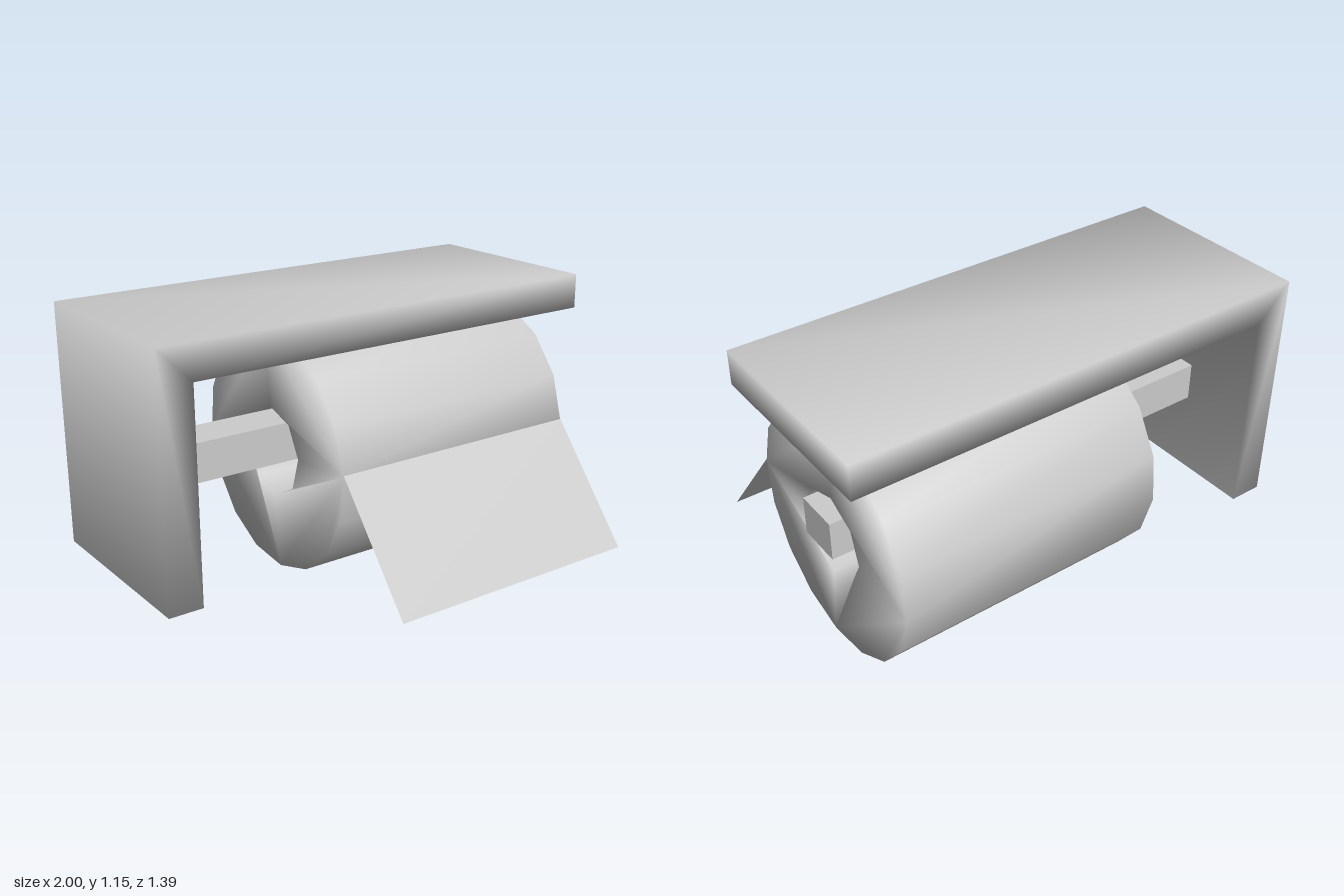
import * as THREE from 'three';
import { mergeVertices } from 'three/addons/utils/BufferGeometryUtils.js';

const material = new THREE.MeshStandardMaterial({ color: 0xcccccc });
const thinMaterial = new THREE.MeshStandardMaterial({ color: 0xcccccc, side: THREE.DoubleSide });

// Extrudes a shape and shares its corners, so shading flows softly over the edges.
function softExtrude(shape, depth) {
  const geometry = new THREE.ExtrudeGeometry(shape, { depth, bevelEnabled: false });
  geometry.deleteAttribute('uv');
  geometry.deleteAttribute('normal');
  const merged = mergeVertices(geometry, 1e-4);
  merged.computeVertexNormals();
  return merged;
}

// Points of a regular polygon, turned slightly off the vertical.
function polygon(sides, radius, turn = -0.085) {
  return Array.from({ length: sides }, (_, i) => {
    const a = turn + (i / sides) * Math.PI * 2;
    return new THREE.Vector2(Math.cos(a) * radius, Math.sin(a) * radius);
  });
}

export function createModel() {
  const group = new THREE.Group();
  const add = (name, geometry, mat = material) => {
    const mesh = new THREE.Mesh(geometry, mat);
    mesh.name = name;
    group.add(mesh);
    return mesh;
  };

  const rollLeft = -0.28, rollRight = 0.865;
  const axisY = 0.507, axisZ = -0.187;

  // L-shaped bracket: top shelf and side panel in one piece
  const profile = new THREE.Shape([
    [-1, 0.135], [-0.855, 0.135], [-0.855, 1.01],
    [1, 1.01], [1, 1.155], [-1, 1.155],
  ].map(([x, y]) => new THREE.Vector2(x, y)));
  add('bracket', softExtrude(profile, 0.84)).position.z = -0.61;

  // Square bar carrying the roll
  add('spindle', new THREE.BoxGeometry(1.78, 0.165, 0.19)).position.set(0.03, 0.57, axisZ);

  // Paper roll with an open core
  const ring = new THREE.Shape(polygon(16, 0.506));
  ring.holes.push(new THREE.Path(polygon(8, 0.19)));
  const roll = softExtrude(ring, rollRight - rollLeft);
  roll.rotateY(Math.PI / 2);
  add('paperRoll', roll).position.set(rollLeft, axisY, axisZ);

  // Loose sheet hanging off the front of the roll
  const top = { y: 0.555, z: 0.318 }, bottom = { y: 0.09, z: 0.695 };
  const drop = top.y - bottom.y, reach = bottom.z - top.z;
  const sheet = new THREE.PlaneGeometry(rollRight - rollLeft, Math.hypot(drop, reach));
  sheet.rotateX(-Math.atan2(reach, drop));
  add('looseSheet', sheet, thinMaterial).position.set(
    (rollLeft + rollRight) / 2, (top.y + bottom.y) / 2, (top.z + bottom.z) / 2);

  return group;
}
